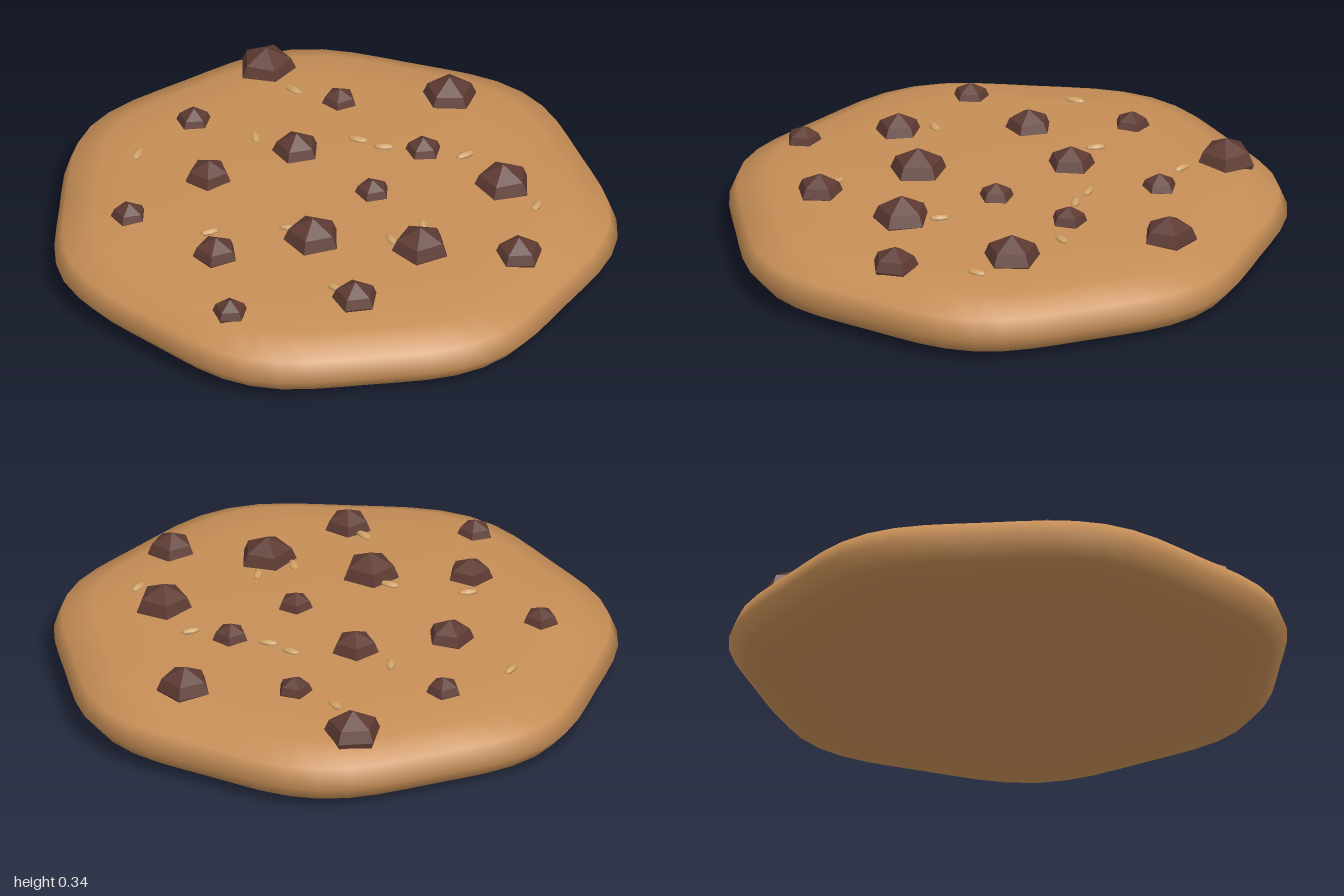
import * as THREE from 'three';
import { mergeVertices } from 'three/addons/utils/BufferGeometryUtils.js';

// Cross-section of the dough, bottom centre to top centre: [radius, height]
const PROFILE = [[0, 0], [0.45, 0], [0.8, 0], [0.945, 0.035], [1, 0.1], [0.972, 0.17], [0.86, 0.22], [0.7, 0.234], [0.4, 0.25], [0, 0.257]];

// Height of the upper surface at a distance from the centre
function surfaceY(x, z) {
  const r = Math.hypot(x, z + 0.015);
  for (let i = PROFILE.length - 1; i > 5; i--) {
    const [r0, y0] = PROFILE[i], [r1, y1] = PROFILE[i - 1];
    if (r <= r1) return y0 + (y1 - y0) * (r - r0) / (r1 - r0);
  }
  return 0.17;
}

// Round slab pushed into a softly seven-lobed outline
function doughGeometry() {
  const lathe = new THREE.LatheGeometry(PROFILE.map(([r, y]) => new THREE.Vector2(r, y)), 56);
  const p = lathe.attributes.position;
  for (let i = 0; i < p.count; i++) {
    const x = p.getX(i), z = p.getZ(i);
    const s = 0.986 + 0.024 * Math.cos(7 * Math.atan2(x, z));
    p.setXYZ(i, x * s * 1.013, p.getY(i), z * s - 0.015);
  }
  lathe.deleteAttribute('uv');
  lathe.deleteAttribute('normal');
  const g = mergeVertices(lathe, 1e-4);
  g.computeVertexNormals();
  return g;
}

// Chips: x, z, radius, direction of one corner in degrees (from +x towards +z)
const CHIPS = [
  [-0.457, -0.69, 0.106, 90], [0.22, -0.71, 0.1, 0], [-0.14, -0.55, 0.064, -100], [-0.6, -0.285, 0.064, -75],
  [-0.19, -0.2, 0.087, -87], [0.24, -0.34, 0.066, -78], [0.57, -0.24, 0.105, -90], [-0.44, 0.045, 0.085, -105],
  [0.147, -0.035, 0.064, -88], [0.75, 0.14, 0.087, -76], [0.41, 0.23, 0.105, -100], [0.03, 0.3, 0.105, -90],
  [-0.645, 0.335, 0.065, -86], [-0.275, 0.48, 0.083, -95], [0.28, 0.585, 0.085, -82], [-0.125, 0.785, 0.065, -74],
];

// Oat flakes: x, z, direction of the long axis in degrees
const OATS = [
  [-0.318, -0.572, 25], [0, -0.33, 0], [0.1, -0.315, -15], [0.388, -0.364, -50], [-0.355, -0.235, 60], [0.72, -0.16, 95],
  [-0.73, -0.03, 90], [0.377, 0.1, 65], [0.298, 0.22, 50], [-0.07, 0.265, -5], [-0.334, 0.364, -40], [0.195, 0.55, 20],
];

export function createModel() {
  const group = new THREE.Group();
  const mat = (name, color) => {
    const m = new THREE.MeshStandardMaterial({ color });
    m.name = name;
    return m;
  };
  const dough = mat('baked dough', 0xc68e56);
  const chocolate = mat('dark chocolate', 0x5d3a32);
  chocolate.flatShading = true;
  const oat = mat('oat', 0xd2a468);
  const add = (name, geometry, material) => {
    const mesh = new THREE.Mesh(geometry, material);
    mesh.name = name;
    group.add(mesh);
    return mesh;
  };

  add('dough', doughGeometry(), dough);

  // Five-sided chunk: wide base, sloped shoulder, pointed top
  const chip = new THREE.LatheGeometry(
    [[0, -0.3], [0.9, -0.3], [1, 0], [0.82, 0.42], [0, 0.85]].map(([r, y]) => new THREE.Vector2(r, y)), 5);
  CHIPS.forEach(([x, z, r, deg], i) => {
    const m = add(`chocolateChip${i + 1}`, chip, chocolate);
    m.position.set(x, surfaceY(x, z), z);
    m.scale.setScalar(r);
    m.rotation.y = -THREE.MathUtils.degToRad(deg) - Math.PI / 2;
  });

  // Flat flakes resting half sunk in the surface
  const flake = new THREE.SphereGeometry(1, 6, 4).rotateZ(Math.PI / 2);
  OATS.forEach(([x, z, deg], i) => {
    const m = add(`oatFlake${i + 1}`, flake, oat);
    m.position.set(x, surfaceY(x, z) + 0.004, z);
    m.scale.set(0.037, 0.012, 0.017);
    m.rotation.y = -THREE.MathUtils.degToRad(deg);
  });
  return group;
}
